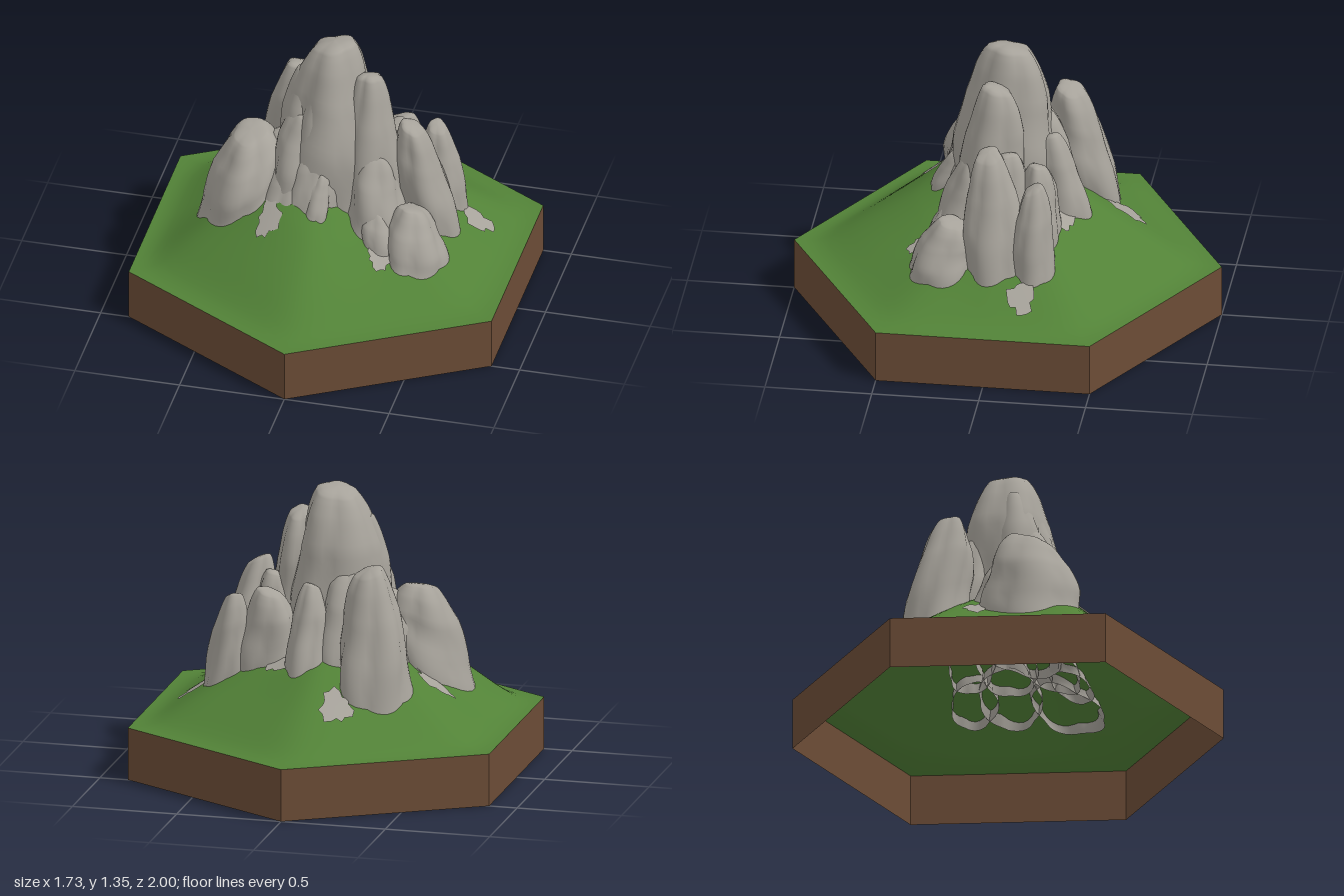
import * as THREE from 'three';

// Closed-loop surface: rows of points running from the centre (or top) outwards;
// cells whose corner fails the keep test are left open
function loft(rows, cols, point, keep = () => true) {
  const pos = [], idx = [];
  for (let i = 0; i <= rows; i++)
    for (let j = 0; j < cols; j++) pos.push(...point(i / rows, j / cols));
  for (let i = 0; i < rows; i++)
    for (let j = 0; j < cols; j++) {
      const k = (j + 1) % cols;
      const a = i * cols + j, b = (i + 1) * cols + j, c = (i + 1) * cols + k, d = i * cols + k;
      if (!keep(pos[a * 3], pos[a * 3 + 2])) continue;
      if (i > 0) idx.push(a, c, d);
      idx.push(a, b, c);
    }
  const g = new THREE.BufferGeometry();
  g.setAttribute('position', new THREE.Float32BufferAttribute(pos, 3));
  g.setIndex(idx);
  g.computeVertexNormals();
  return g;
}

// Linear interpolation through [position, value] pairs
function sample(table, t) {
  for (let i = 1; i < table.length; i++) {
    const [t0, v0] = table[i - 1], [t1, v1] = table[i];
    if (t <= t1) return v0 + (v1 - v0) * (t - t0) / (t1 - t0);
  }
  return table[table.length - 1][1];
}

// Hill height, falling from the centre to the six-sided rim, with soft corners
const slope = [[0, 0.45], [0.3, 0.365], [0.45, 0.28], [0.6, 0.188], [0.7, 0.128],
  [0.8, 0.068], [0.85, 0.04], [0.9, 0.017], [0.95, 0.004], [1, 0]];
function hill(x, z) {
  const ax = Math.abs(x), az = 0.866 * Math.abs(z);
  const sides = [ax, ax / 2 + az, Math.abs(ax / 2 - az)];
  const d = Math.pow(sides.reduce((sum, s) => sum + Math.pow(s / 0.866, 14), 0), 1 / 14);
  const r2 = x * x + z * z + 0.01;
  const skew = z > 0 ? 0.55 * x * z / r2 : -0.08 * x * z / r2;
  return 0.25 + sample(slope, d) * (1 - skew);
}

// Rock tower outline: blunt top, steep flanks, spreading foot
const flank = [[0, 0], [0.005, 0.22], [0.025, 0.37], [0.07, 0.46], [0.15, 0.57],
  [0.35, 0.76], [0.65, 0.92], [1, 1]];

function rockGeometry([tx, ty, tz, bx, bz, rx, rz], seed) {
  return loft(26, 40, (u, v) => {
    const t = Math.pow(u, 1.7), a = v * Math.PI * 2;
    // broad ribs with sharp grooves, twisting and bulging a little with height
    const rib = Math.abs(Math.sin(2.5 * a + seed * 1.7 + t * 1.4));
    const fine = Math.sin(3 * a + seed * 2.3 - t * 3) * 0.035;
    const bulge = Math.sin(t * 9 + seed + 2 * Math.sin(a + seed)) * 0.04;
    const r = sample(flank, t) * (0.9 + 0.13 * rib + fine + bulge);
    const x = tx + (bx - tx) * t + Math.sin(a) * r * rx;
    const z = tz + (bz - tz) * t + Math.cos(a) * r * rz;
    const foot = hill(bx + Math.sin(a) * rx, bz + Math.cos(a) * rz) - 0.04;
    const tilt = 0.02 * Math.sin(a + seed) * Math.min(1, r * 3) * (1 - t);
    return [x, ty + (foot - ty) * t + tilt, z];
  });
}

// Ragged bare patch lying on the grass
function patchGeometry([px, pz, rx, rz], seed) {
  return loft(4, 18, (t, v) => {
    const a = v * Math.PI * 2;
    const r = t * (0.9 + 0.16 * Math.sin(3 * a + seed) + 0.14 * Math.sin(7 * a + seed * 2));
    const x = px + Math.sin(a) * r * rx, z = pz + Math.cos(a) * r * rz;
    return [x, hill(x, z) + 0.009, z];
  });
}

export function createModel() {
  const model = new THREE.Group();
  const grass = new THREE.MeshStandardMaterial({ name: 'grass green', color: 0x528237, side: THREE.DoubleSide });
  const soil = new THREE.MeshStandardMaterial({ name: 'soil brown', color: 0x6b4c36, side: THREE.DoubleSide });
  const stone = new THREE.MeshStandardMaterial({ name: 'stone grey', color: 0xa6a29a, side: THREE.DoubleSide });
  const add = (name, geometry, material, parent = model) => {
    const mesh = new THREE.Mesh(geometry, material);
    mesh.name = name;
    parent.add(mesh);
  };

  // Six-sided soil wall, open above and below
  const wall = new THREE.CylinderGeometry(1, 1, 0.25, 6, 1, true).toNonIndexed();
  wall.translate(0, 0.125, 0);
  wall.computeVertexNormals();
  add('soilWall', wall, soil);

  // Rock towers: top x, y, z, foot x, z, foot radii x, z
  const rocks = {
    mainPeak: [-0.01, 1.345, -0.01, -0.02, 0.02, 0.25, 0.26],
    peakLeftRib: [-0.12, 1.2, 0.03, -0.14, 0.05, 0.14, 0.15],
    peakFrontRib: [-0.03, 1.22, 0.09, -0.02, 0.13, 0.13, 0.15],
    rightShoulder: [0.17, 1.215, 0.03, 0.19, 0.05, 0.15, 0.18],
    leftShoulder: [-0.12, 1.03, 0.1, -0.15, 0.16, 0.14, 0.15],
    frontButtress: [-0.05, 0.9, 0.15, -0.07, 0.23, 0.13, 0.12],
    backLeftPeak: [-0.23, 1.03, -0.26, -0.28, -0.34, 0.17, 0.17],
    leftPeak: [-0.38, 0.87, 0.11, -0.42, 0.14, 0.2, 0.24],
    leftSaddle: [-0.25, 0.84, 0.02, -0.31, 0, 0.15, 0.14],
    rightPeak: [0.37, 0.97, 0.04, 0.46, -0.01, 0.14, 0.15],
    rightSaddle: [0.27, 0.92, -0.03, 0.31, -0.02, 0.14, 0.14],
    rightFrontFoot: [0.41, 0.62, 0.2, 0.45, 0.26, 0.145, 0.17],
    rightBackPeak: [0.44, 0.84, -0.18, 0.48, -0.18, 0.11, 0.11],
    rightBackRidge: [0.27, 0.87, -0.18, 0.28, -0.18, 0.15, 0.11],
    rightButtress: [0.21, 0.86, 0.12, 0.24, 0.19, 0.14, 0.14],
    backButtress: [0.06, 0.92, -0.2, 0.07, -0.29, 0.1, 0.12],
    backSaddle: [-0.09, 1, -0.14, -0.1, -0.21, 0.14, 0.14],
    frontSpur: [0, 0.78, 0.23, -0.03, 0.31, 0.06, 0.08],
    frontLeftSpur: [-0.18, 0.78, 0.18, -0.2, 0.25, 0.1, 0.1],
    frontRightSpur: [0.25, 0.6, 0.23, 0.3, 0.28, 0.1, 0.1],
  };

  // Grassy hill, hollow beneath the left tower
  const [, , , holeX, holeZ, holeRx, holeRz] = rocks.leftPeak;
  add('grassHill', loft(40, 96, (t, v) => {
    const s = v * 6, k = Math.floor(s + 1e-6), f = s - k;
    const a = k * Math.PI / 3, b = a + Math.PI / 3;
    const x = t * (Math.sin(a) * (1 - f) + Math.sin(b) * f);
    const z = t * (Math.cos(a) * (1 - f) + Math.cos(b) * f);
    return [x, hill(x, z), z];
  }, (x, z) => Math.hypot((x - holeX) / holeRx, (z - holeZ) / holeRz) > 0.68), grass);

  const mountain = new THREE.Group();
  mountain.name = 'mountain';
  model.add(mountain);
  Object.entries(rocks).forEach(([name, r], i) => add(name, rockGeometry(r, i * 2.4 + 0.6), stone, mountain));

  // Bare stone patches around the foot: x, z, radii x, z
  const patches = [[-0.14, -0.54, 0.08, 0.09], [0.64, -0.15, 0.08, 0.07], [-0.23, 0.37, 0.06, 0.08],
    [-0.5, -0.12, 0.09, 0.06], [0.3, 0.37, 0.06, 0.06], [0.19, -0.3, 0.07, 0.04]];
  patches.forEach((p, i) => add('stonePatch', patchGeometry(p, i * 1.9), stone, mountain));

  return model;
}
